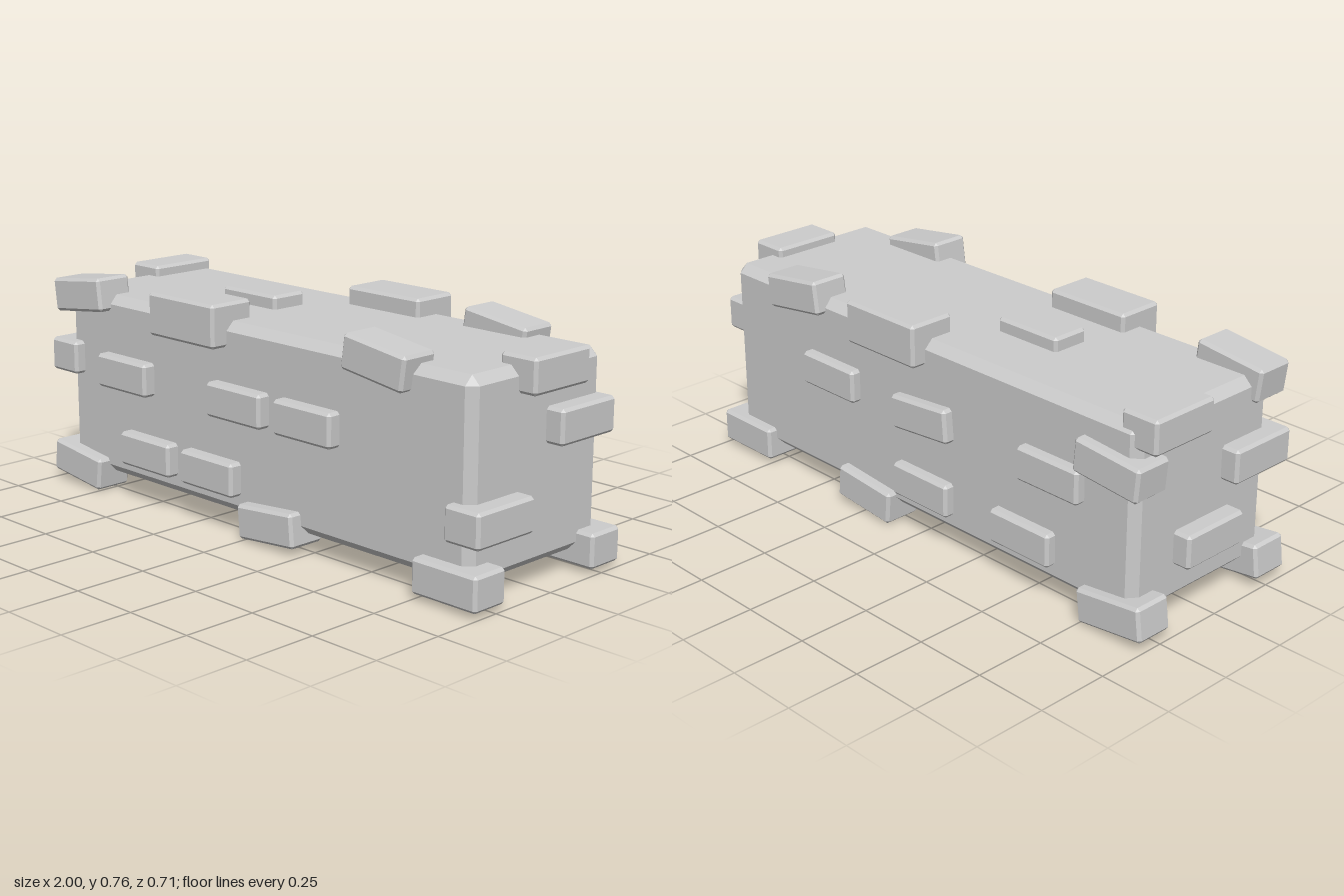
import * as THREE from 'three';
import { ConvexGeometry } from 'three/addons/geometries/ConvexGeometry.js';

// Box with every edge cut off at 45 degrees
function chamferedBox(w, h, d, c) {
  const points = [];
  for (const sx of [-1, 1]) for (const sy of [-1, 1]) for (const sz of [-1, 1]) {
    const x = w / 2, y = h / 2, z = d / 2;
    points.push(
      new THREE.Vector3(sx * x, sy * (y - c), sz * (z - c)),
      new THREE.Vector3(sx * (x - c), sy * y, sz * (z - c)),
      new THREE.Vector3(sx * (x - c), sy * (y - c), sz * z)
    );
  }
  return new ConvexGeometry(points);
}

export function createModel() {
  const model = new THREE.Group();
  const stone = new THREE.MeshStandardMaterial({ color: 0xcccccc, flatShading: true });
  const small = chamferedBox(0.255, 0.115, 0.137, 0.01);
  const large = chamferedBox(0.32, 0.145, 0.17, 0.01);

  function add(name, geometry, x, y, z, tilt = 0, turn = 0) {
    const mesh = new THREE.Mesh(geometry, stone);
    mesh.name = name;
    mesh.position.set(x, y, z);
    mesh.rotation.set(0, turn, THREE.MathUtils.degToRad(tilt));
    model.add(mesh);
  }

  // Wall core
  add('wallBlock', chamferedBox(1.865, 0.635, 0.6, 0.03), 0, 0.388, -0.005);

  // Bricks along the long edges, on both sides: x, y, tilt
  for (const [side, z] of [['front', 0.272], ['back', -0.272]]) {
    const edge = [[0.577, 0.695, -8], [-0.866, 0.08, -7], [0.87, 0.08, 0]];
    for (const [x, y, tilt] of edge) add(side + 'EdgeBrick', small, x, y, z, tilt);
  }
  add('frontEdgeBrick', small, -0.835, 0.695, 0.272, 7);
  add('frontEdgeBrick', small, 0.107, 0.078, 0.272, 5);
  add('backEdgeBrick', small, 0.24, 0.073, -0.272, 5);
  add('frontLargeBrick', large, -0.27, 0.694, 0.27);
  add('backLargeBrick', large, 0.117, 0.694, -0.273);

  // Bricks set into the front face
  for (const [x, y] of [[-0.605, 0.449], [-0.04, 0.449], [0.275, 0.449], [-0.49, 0.193], [-0.175, 0.193]])
    add('frontFaceBrick', small, x, y, 0.272);

  // Bricks set into the back face
  for (const [x, y, tilt] of [[0.405, 0.449, 0], [-0.04, 0.444, -5], [-0.605, 0.449, 0],
    [-0.04, 0.193, 0], [-0.49, 0.193, 0], [-0.84, 0.55, 5]])
    add('backFaceBrick', small, x, y, -0.272, tilt);

  // Bricks set into both ends: y, z
  for (const [y, z] of [[0.681, -0.035], [0.504, -0.168], [0.267, 0.203]])
    add('leftEndBrick', small, 0.927, y, z, 0, Math.PI / 2);
  for (const [y, z] of [[0.685, -0.168], [0.465, 0.207], [0.255, 0]])
    add('rightEndBrick', small, -0.925, y, z, 0, Math.PI / 2);

  // Brick set into the top
  add('topBrick', small, -0.265, 0.694, -0.012);

  return model;
}
